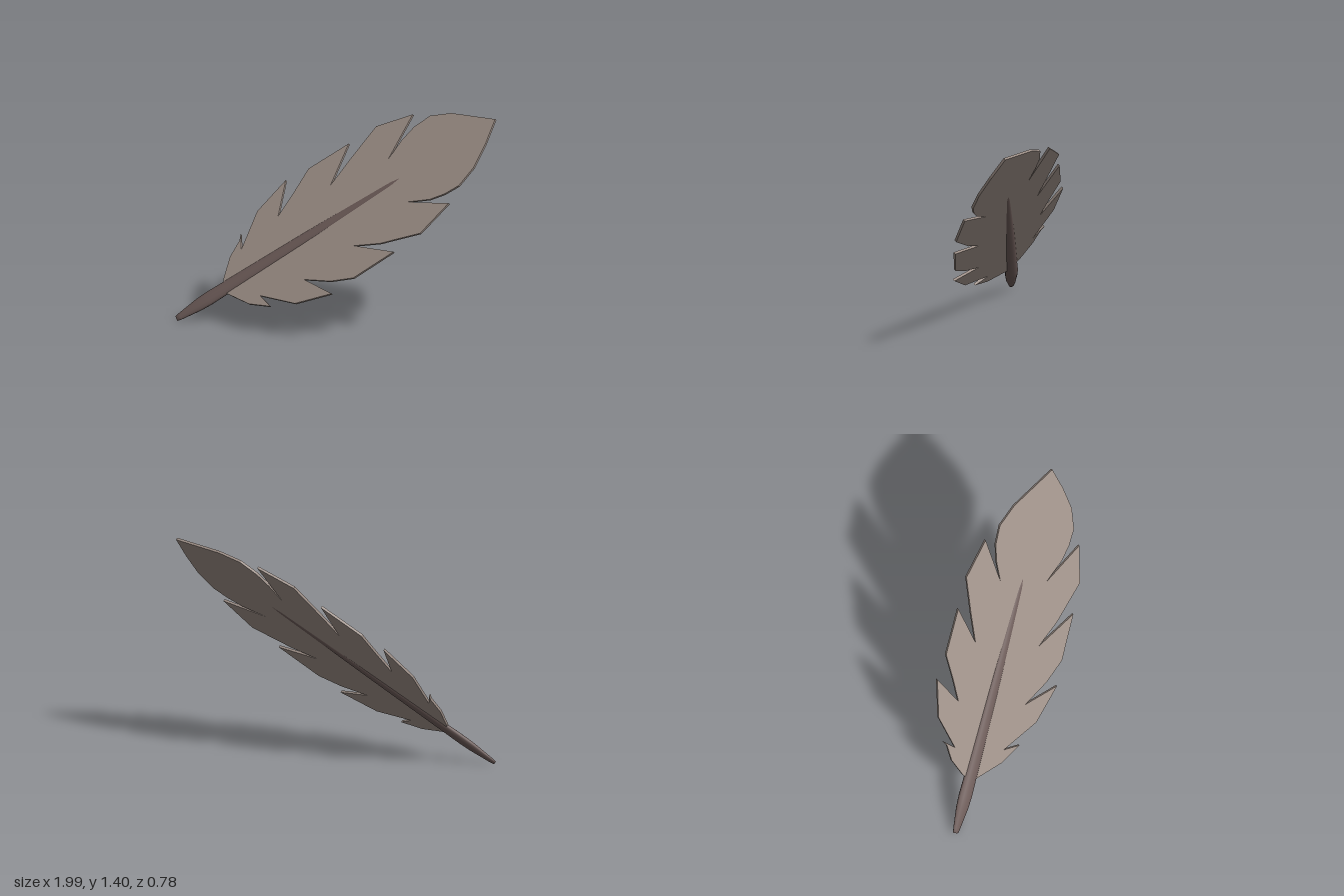
import * as THREE from 'three';

// Feather frame: origin at the quill's foot, Y along the shaft, Z out of the face
const foot = new THREE.Vector3(-0.985, 0.018, -0.158);
const face = new THREE.Vector3(-0.514, 0.604, 0.609).normalize();
const along = new THREE.Vector3(1.715, 1.212, 0.258).projectOnPlane(face).normalize();
const across = new THREE.Vector3().crossVectors(along, face);

// Vane edge as seen from the front: [x, y]
const outline = [
  // upper edge, foot to tip
  [-0.69, 0.27], [-0.645, 0.39], [-0.585, 0.48], [-0.575, 0.515], [-0.575, 0.44],
  [-0.47, 0.65], [-0.29, 0.84], [-0.345, 0.65],
  [-0.25, 0.78], [-0.15, 0.925], [0.10, 1.10], [-0.02, 0.87],
  [0.11, 1.03], [0.27, 1.22], [0.495, 1.325], [0.335, 1.07],
  [0.42, 1.18], [0.5, 1.265], [0.6, 1.34], [0.73, 1.38], [0.995, 1.405],
  // lower edge, tip to foot
  [0.93, 1.27], [0.855, 1.14], [0.76, 1.03], [0.67, 0.97], [0.58, 0.925], [0.435, 0.882],
  [0.695, 0.93], [0.515, 0.745], [0.27, 0.645], [0.11, 0.6],
  [0.35, 0.62], [0.1, 0.44], [-0.04, 0.395], [-0.2, 0.37],
  [-0.035, 0.335], [-0.26, 0.24], [-0.47, 0.235],
  [-0.41, 0.195], [-0.54, 0.18], [-0.68, 0.205],
];

// Drop a front-view point onto the feather's plane, in feather coordinates
function toPlane([x, y]) {
  const p = new THREE.Vector3(x, y, 0).sub(foot);
  p.z = -(face.x * p.x + face.y * p.y) / face.z;
  return new THREE.Vector2(p.dot(across), p.dot(along));
}

export function createModel() {
  const vaneMaterial = new THREE.MeshStandardMaterial({ color: 0x9a8c84 });
  vaneMaterial.name = 'warm grey vane';
  const quillMaterial = new THREE.MeshStandardMaterial({ color: 0x6b5a57 });
  quillMaterial.name = 'brown quill';

  const feather = new THREE.Group();
  feather.name = 'feather';

  // Notched flat vane
  const thickness = 0.016;
  const vaneGeometry = new THREE.ExtrudeGeometry(new THREE.Shape(outline.map(toPlane)), {
    depth: thickness, bevelEnabled: false,
  });
  vaneGeometry.translate(0, 0, -thickness / 2);
  const vane = new THREE.Mesh(vaneGeometry, vaneMaterial);
  vane.name = 'vane';

  // Tapering quill, flattened to an oval section: [half width, distance along]
  const profile = [
    [0, 0], [0.019, 0], [0.026, 0.03], [0.046, 0.17], [0.05, 0.25], [0.047, 0.4],
    [0.038, 0.95], [0.022, 1.6], [0, 2.115],
  ].map(([r, s]) => new THREE.Vector2(r, s));
  const quillGeometry = new THREE.LatheGeometry(profile, 12);
  quillGeometry.scale(1, 1, 0.46);
  const quill = new THREE.Mesh(quillGeometry, quillMaterial);
  quill.name = 'quill';

  feather.add(vane, quill);
  feather.quaternion.setFromRotationMatrix(new THREE.Matrix4().makeBasis(across, along, face));
  feather.position.copy(foot);

  const model = new THREE.Group();
  model.add(feather);
  return model;
}
